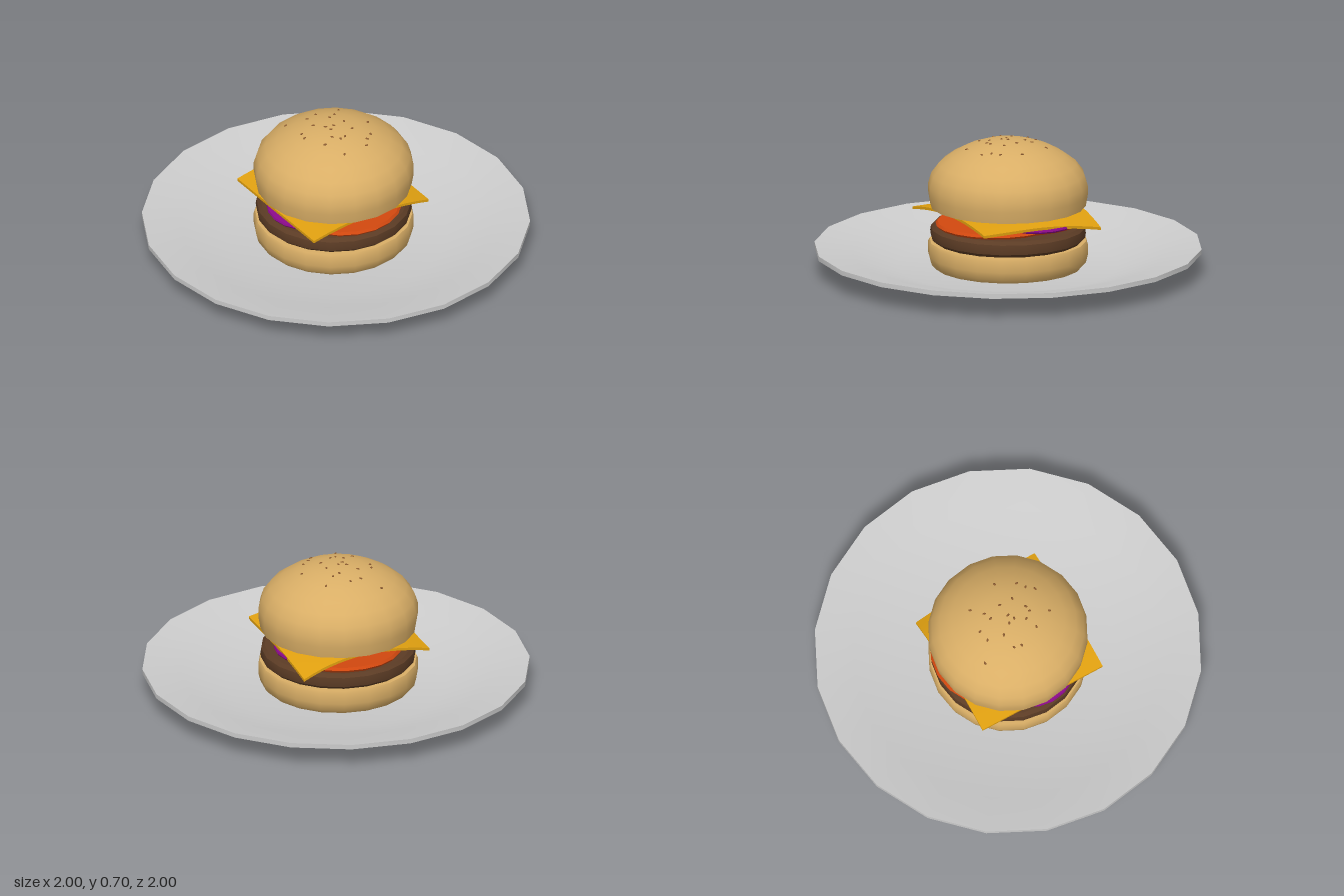
import * as THREE from 'three';
import { toCreasedNormals } from 'three/addons/utils/BufferGeometryUtils.js';

const mat = (color) => new THREE.MeshStandardMaterial({ color });

// Turned solid: profile of [radius, y] points running from the bottom outwards and up
function turned(name, profile, material, sides = 20) {
  const points = profile.map(([r, y]) => new THREE.Vector2(r, y));
  const mesh = new THREE.Mesh(toCreasedNormals(new THREE.LatheGeometry(points, sides), 0.6), material);
  mesh.name = name;
  return mesh;
}

// Height of the bun's dome at a distance from its axis
const DOME = [[0.412, 0.46], [0.395, 0.515], [0.355, 0.568], [0.295, 0.613], [0.22, 0.653], [0.14, 0.68], [0.07, 0.691], [0, 0.695]];
function domeHeight(r) {
  for (let i = DOME.length - 1; i > 0; i--) {
    const [r0, y0] = DOME[i], [r1, y1] = DOME[i - 1];
    if (r <= r1) return y0 + (y1 - y0) * (r - r0) / (r1 - r0);
  }
  return DOME[0][1];
}

export function createModel() {
  const model = new THREE.Group();
  const bun = mat(0xd9ae66), meat = mat(0x5c3c25), red = mat(0xd2480f);
  const purple = mat(0x8b0a8b), yellow = mat(0xe0a010), brown = mat(0x8a5a30);

  // Plate: shallow dish with a thin rim
  model.add(turned('plate', [[0, 0], [0.57, 0], [0.8, 0.07], [1, 0.11], [1, 0.135],
    [0.8, 0.095], [0.57, 0.03], [0, 0.025]], mat(0xcccccc)));

  const burger = new THREE.Group();
  burger.name = 'burger';
  burger.position.set(-0.01, 0, -0.006);
  model.add(burger);

  // Buns and patty
  burger.add(turned('bottomBun', [[0, 0.026], [0.38, 0.026], [0.402, 0.05], [0.412, 0.09],
    [0.412, 0.15], [0.405, 0.165], [0, 0.165]], bun));
  burger.add(turned('patty', [[0, 0.165], [0.38, 0.165], [0.398, 0.182], [0.402, 0.208],
    [0.398, 0.233], [0.38, 0.25], [0, 0.25]], meat));
  burger.add(turned('topBun', [[0, 0.35], [0.402, 0.35], [0.412, 0.41], ...DOME], bun));

  // Tomato slices, overlapping front to back
  [[0, 0.248, 0.075, 0], [0.02, 0.256, -0.095, 0.03]].forEach(([x, y, z, tilt]) => {
    const slice = turned('tomatoSlice', [[0, 0], [0.3, 0], [0.31, 0.013], [0.3, 0.026], [0, 0.026]], red);
    slice.position.set(x, y, z);
    slice.rotation.x = tilt;
    burger.add(slice);
  });

  // Onion slices, each made of concentric rings and leaning outwards
  [[-0.15, 0.298, 0.04, 0.11], [0.12, 0.294, -0.06, -0.1]].forEach(([x, y, z, lean]) => {
    const slice = new THREE.Group();
    slice.name = 'onionSlice';
    [0.24, 0.18, 0.12, 0.06].forEach((r) => {
      const inner = r - 0.04;
      slice.add(turned('onionRing', [[inner, 0], [r, 0], [r + 0.005, 0.009], [r, 0.018],
        [inner, 0.018], [inner, 0]], purple));
    });
    slice.position.set(x, y, z);
    slice.rotation.z = lean;
    burger.add(slice);
  });

  // Cheese: square sheet arched across x, with one back corner hanging lower
  const sheet = new THREE.BoxGeometry(0.71, 0.014, 0.71, 14, 1, 14);
  const p = sheet.attributes.position;
  for (let i = 0; i < p.count; i++) {
    const x = p.getX(i), z = p.getZ(i);
    const bend = Math.max(0, (x - z - 0.25) / 0.45);
    p.setY(i, p.getY(i) + 0.342 - 0.33 * x * x - 0.05 * bend * bend);
    p.setX(i, x - 0.012 * bend * bend);
  }
  const cheese = new THREE.Mesh(toCreasedNormals(sheet, 0.6), yellow);
  cheese.name = 'cheese';
  cheese.position.set(-0.005, 0, 0.001);
  burger.add(cheese);

  // Sesame seeds scattered over the crown
  const seeds = new THREE.Group();
  seeds.name = 'seeds';
  const seedShape = new THREE.SphereGeometry(0.009, 8, 6);
  [[-0.15, -0.22], [-0.06, -0.155], [0, -0.165], [0.13, -0.15], [-0.16, -0.055], [-0.08, -0.07],
    [0.03, -0.085], [0.07, -0.1], [-0.17, -0.015], [-0.03, 0.02], [0, 0], [0.07, -0.01],
    [0.19, 0.03], [-0.12, 0.1], [-0.06, 0.075], [-0.03, 0.11], [0, 0.105], [0.07, 0.065],
    [0.1, 0.16], [0.14, 0.13], [-0.07, 0.205], [0.07, 0.2], [-0.04, -0.015]].forEach(([x, z], i) => {
    const seed = new THREE.Mesh(seedShape, brown);
    seed.name = 'seed';
    seed.position.set(x, domeHeight(Math.hypot(x, z)), z);
    seed.scale.set(1.1, 0.5, 0.65);
    seed.rotation.set(z * 0.9, i * 2.4, -x * 0.9);
    seeds.add(seed);
  });
  burger.add(seeds);

  return model;
}
